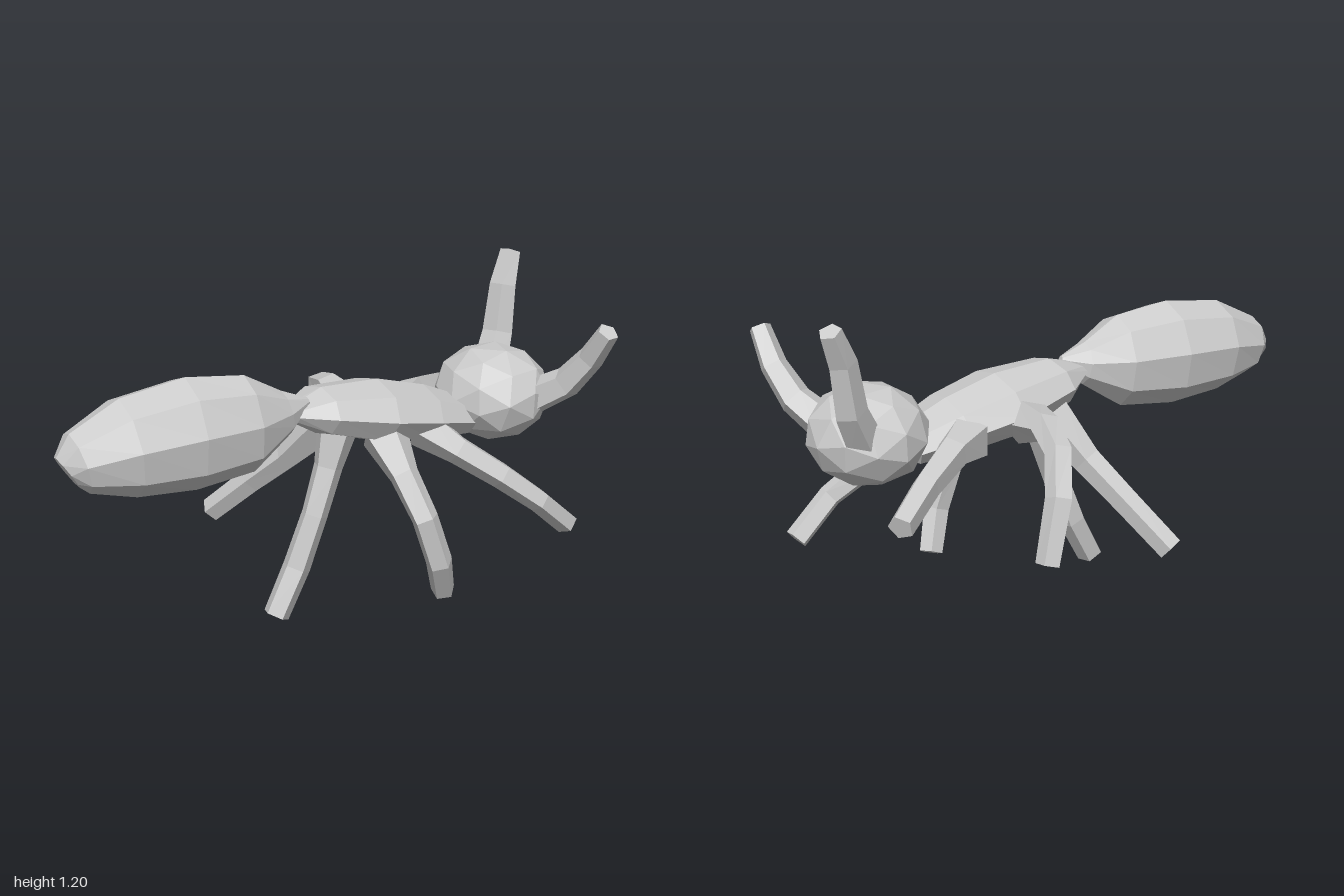
import * as THREE from 'three';

const material = new THREE.MeshStandardMaterial({ color: 0xcccccc, flatShading: true });

// Closed faceted loft through sections [x, y, z, radiusA, radiusB]
function loft(sections, sides, up, twist = 0) {
  const centres = sections.map(s => new THREE.Vector3(s[0], s[1], s[2]));
  const last = centres.length - 1;
  const pos = [], index = [];
  const normal = up.clone();
  centres.forEach((c, i) => {
    // Carry the frame along the path so the rings do not twist
    const t = centres[Math.min(i + 1, last)].clone().sub(centres[Math.max(i - 1, 0)]).normalize();
    normal.addScaledVector(t, -normal.dot(t)).normalize();
    const side = t.clone().cross(normal);
    const rA = sections[i][3], rB = sections[i][4] ?? rA;
    for (let j = 0; j < sides; j++) {
      const a = (j + twist) / sides * Math.PI * 2;
      const p = c.clone().addScaledVector(normal, Math.cos(a) * rA).addScaledVector(side, Math.sin(a) * rB);
      pos.push(p.x, p.y, p.z);
    }
  });
  const first = pos.length / 3;
  for (const c of [centres[0], centres[last]]) pos.push(c.x, c.y, c.z);
  for (let j = 0; j < sides; j++) {
    const k = (j + 1) % sides;
    for (let i = 0; i < last; i++) {
      const a = i * sides + j, b = i * sides + k;
      index.push(a, b, b + sides, a, b + sides, a + sides);
    }
    index.push(first, k, j, first + 1, last * sides + j, last * sides + k);
  }
  const g = new THREE.BufferGeometry();
  g.setAttribute('position', new THREE.Float32BufferAttribute(pos, 3));
  g.setIndex(index);
  const flat = g.toNonIndexed();
  flat.computeVertexNormals();
  return flat;
}

export function createModel() {
  const model = new THREE.Group();
  const Y = new THREE.Vector3(0, 1, 0), X = new THREE.Vector3(1, 0, 0);
  const add = (name, geometry) => {
    const mesh = new THREE.Mesh(geometry, material);
    mesh.name = name;
    model.add(mesh);
    return mesh;
  };

  // Body, running along x
  add('abdomen', loft([
    [-0.99, 0.75, 0.13, 0.065, 0.065],
    [-0.95, 0.775, 0.13, 0.11, 0.11],
    [-0.78, 0.80, 0.13, 0.175, 0.17],
    [-0.55, 0.81, 0.13, 0.2, 0.185],
    [-0.33, 0.81, 0.14, 0.175, 0.15],
    [-0.18, 0.825, 0.14, 0.08, 0.075],
    [-0.09, 0.85, 0.145, 0.015, 0.015],
  ], 9, Y));
  add('thorax', loft([
    [-0.16, 0.81, 0.135, 0.025, 0.055],
    [-0.03, 0.795, 0.11, 0.085, 0.14],
    [0.2, 0.755, 0.1, 0.115, 0.19],
    [0.4, 0.715, 0.1, 0.1, 0.17],
    [0.58, 0.67, 0.1, 0.07, 0.12],
  ], 8, Y));

  // Head
  const head = add('head', new THREE.IcosahedronGeometry(1, 1));
  head.geometry.rotateX(0.3);
  head.geometry.rotateY(0.2);
  head.scale.set(0.215, 0.18, 0.23);
  head.position.set(0.725, 0.74, 0.1);

  // Bent limbs: paths from root to tip
  const limbs = {
    leftAntenna: [[0.8, 0.76, -0.03, 0.07], [0.87, 0.9, -0.08, 0.06], [0.9, 1.08, -0.1, 0.052], [0.95, 1.2, -0.13, 0.04]],
    rightAntenna: [[0.81, 0.74, 0.24, 0.07], [0.88, 0.82, 0.35, 0.06], [0.92, 0.93, 0.43, 0.05], [0.93, 1.05, 0.51, 0.04]],
    frontLegRight: [[0.36, 0.69, 0.18, 0.08], [0.46, 0.61, 0.28, 0.055], [0.6, 0.51, 0.36, 0.05], [0.74, 0.4, 0.41, 0.045], [0.89, 0.27, 0.39, 0.045]],
    middleLegRight: [[0.2, 0.69, 0.18, 0.09], [0.21, 0.57, 0.31, 0.055], [0.24, 0.43, 0.41, 0.05], [0.3, 0.25, 0.42, 0.05], [0.36, 0.1, 0.36, 0.045]],
    backLegRight: [[0.04, 0.72, 0.12, 0.08], [0, 0.58, 0.13, 0.055], [-0.06, 0.41, 0.14, 0.05], [-0.13, 0.21, 0.13, 0.053], [-0.22, 0.04, 0.14, 0.05]],
    frontLegLeft: [[0.4, 0.69, -0.02, 0.09], [0.52, 0.7, -0.13, 0.06], [0.69, 0.66, -0.26, 0.05], [0.86, 0.6, -0.4, 0.045]],
    middleLegLeft: [[0.17, 0.72, -0.02, 0.09], [0.19, 0.75, -0.2, 0.055], [0.23, 0.71, -0.35, 0.05], [0.29, 0.59, -0.45, 0.05], [0.36, 0.38, -0.49, 0.045]],
    backLegLeft: [[0.04, 0.7, 0.01, 0.08], [-0.04, 0.55, -0.11, 0.055], [-0.12, 0.42, -0.24, 0.05], [-0.22, 0.26, -0.39, 0.048]],
  };
  for (const [name, path] of Object.entries(limbs)) {
    const alongX = name.startsWith('frontLeg') || name === 'middleLegLeft';
    add(name, loft(path, 5, alongX ? Y : X, 0.25));
  }
  return model;
}
